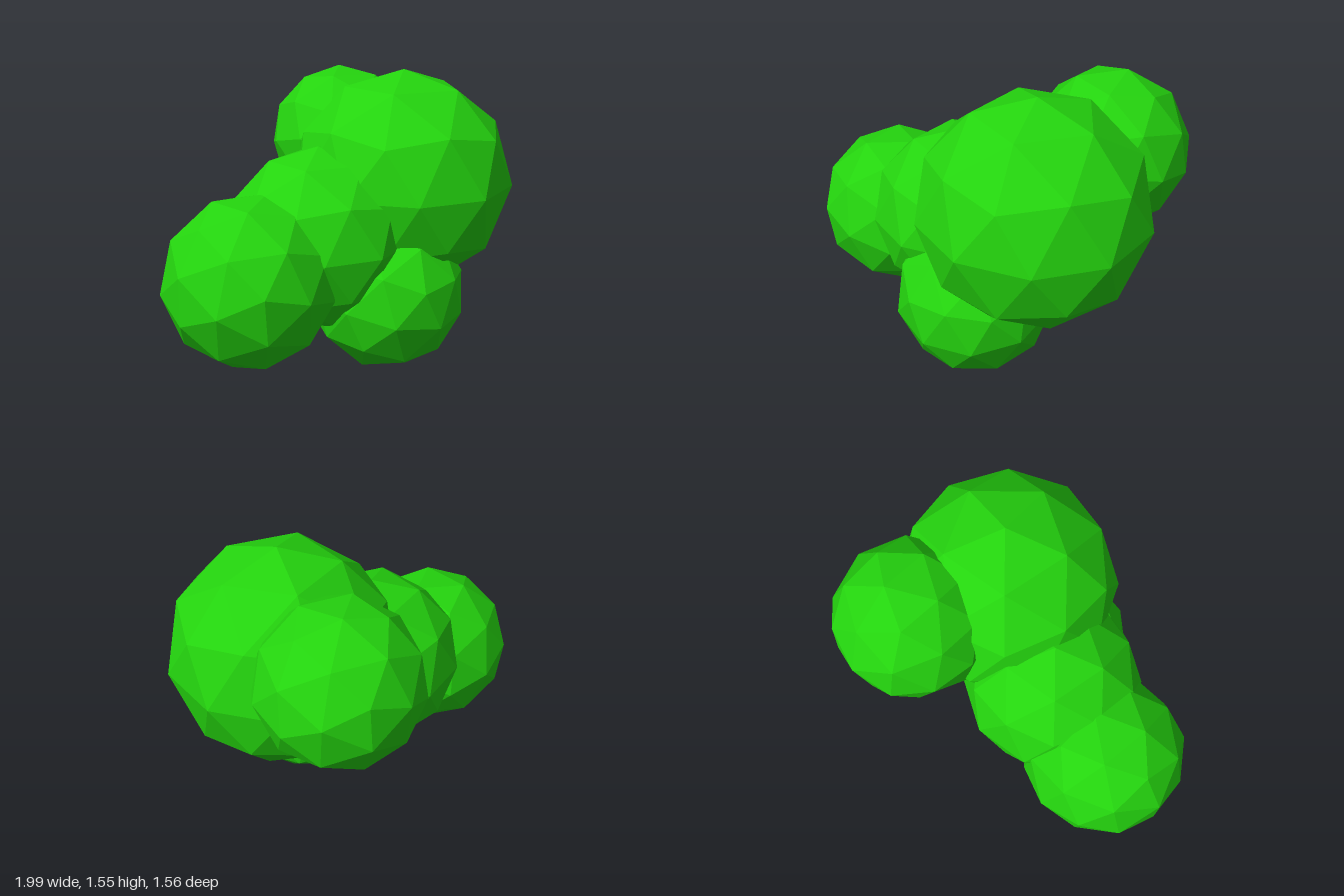
import * as THREE from 'three';

// Each lobe is a faceted ball: centre, radius, and the directions of two
// neighbouring five-sided corners, which fix how its facets are turned.
const upright = [[0, 1, 0], [0.894, 0.447, 0]];
const lobes = [
  { name: 'mainFoliage', at: [0.42, 0.95, 0.18], r: 0.6, corners: upright },
  { name: 'middleFoliage', at: [-0.11, 0.705, 0.105], r: 0.487, corners: upright },
  { name: 'rightFoliage', at: [-0.572, 0.57, 0.12], r: 0.446, corners: [[-0.67, 0.74, 0.05], [-0.96, -0.27, 0.07]] },
  { name: 'frontFoliage', at: [0.165, 0.408, 0.335], r: 0.42, corners: [[-0.087, -0.97, -0.227], [0.857, -0.5, -0.117]] },
  { name: 'backFoliage', at: [0.48, 1.09, -0.37], r: 0.424, corners: [[-0.274, -0.038, -0.32], [0.12, 0.14, -0.38]] },
];

// Turns the ball so that its top edge runs between the two given corners
function facetTurn([p, q]) {
  const a = new THREE.Vector3(...p).normalize();
  const b = new THREE.Vector3(...q).normalize();
  const x = b.clone().sub(a).normalize();
  const y = b.clone().add(a).normalize();
  const z = x.clone().cross(y);
  return new THREE.Matrix4().makeBasis(x, y, z);
}

export function createModel() {
  const model = new THREE.Group();
  model.name = 'bush';
  const leafGreen = new THREE.MeshStandardMaterial({ color: 0x24d40e, flatShading: true });
  leafGreen.name = 'leafGreen';

  for (const { name, at, r, corners } of lobes) {
    const geometry = new THREE.IcosahedronGeometry(r, 1);
    geometry.computeVertexNormals(); // flat facets
    const mesh = new THREE.Mesh(geometry, leafGreen);
    mesh.name = name;
    mesh.quaternion.setFromRotationMatrix(facetTurn(corners));
    mesh.position.set(...at);
    model.add(mesh);
  }
  return model;
}
